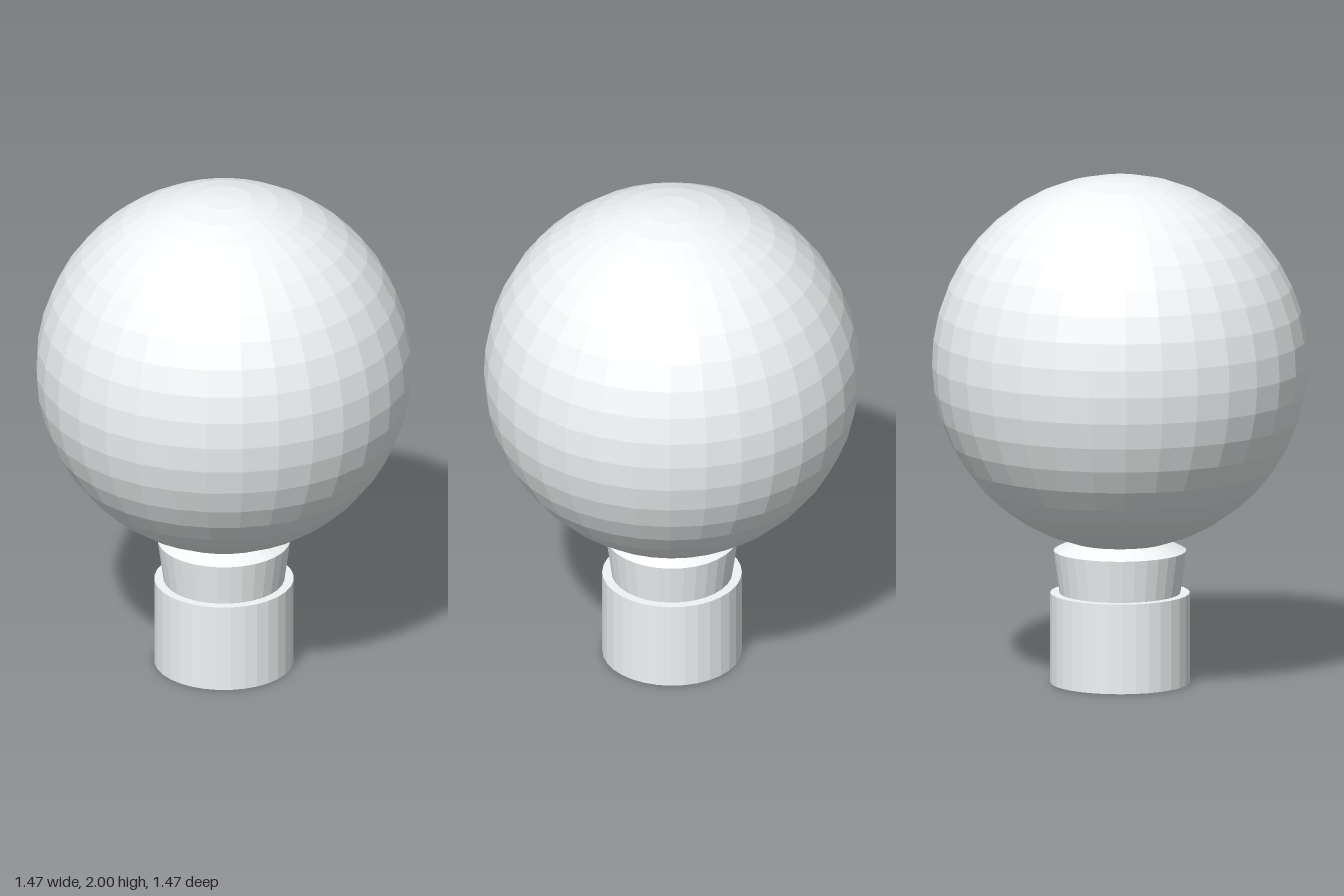
import * as THREE from 'three';

const SIDES = 32;

export function createModel() {
  const model = new THREE.Group();
  const material = new THREE.MeshStandardMaterial({ color: 0xf1f4f5, flatShading: true });

  // Faceted solid of revolution; profile points run from bottom to top
  const addTurned = (name, profile) => {
    const points = profile.map(([r, y]) => new THREE.Vector2(r, y));
    const mesh = new THREE.Mesh(new THREE.LatheGeometry(points, SIDES), material);
    mesh.name = name;
    model.add(mesh);
  };

  // Base cylinder, closed at both ends
  addTurned('base', [[0, 0], [0.272, 0], [0.272, 0.355], [0, 0.355]]);

  // Flared collar with a sloped shoulder
  addTurned('collar', [[0.236, 0.355], [0.259, 0.522], [0.183, 0.56]]);

  // Round globe, open where it meets the collar
  const radius = 0.733, centre = 1.267, rings = 20;
  const openAngle = Math.PI - Math.asin(0.183 / radius);
  const globe = [];
  for (let i = rings; i >= 0; i--) {
    const a = (i / rings) * openAngle;
    globe.push([radius * Math.sin(a), centre + radius * Math.cos(a)]);
  }
  addTurned('globe', globe);

  return model;
}
